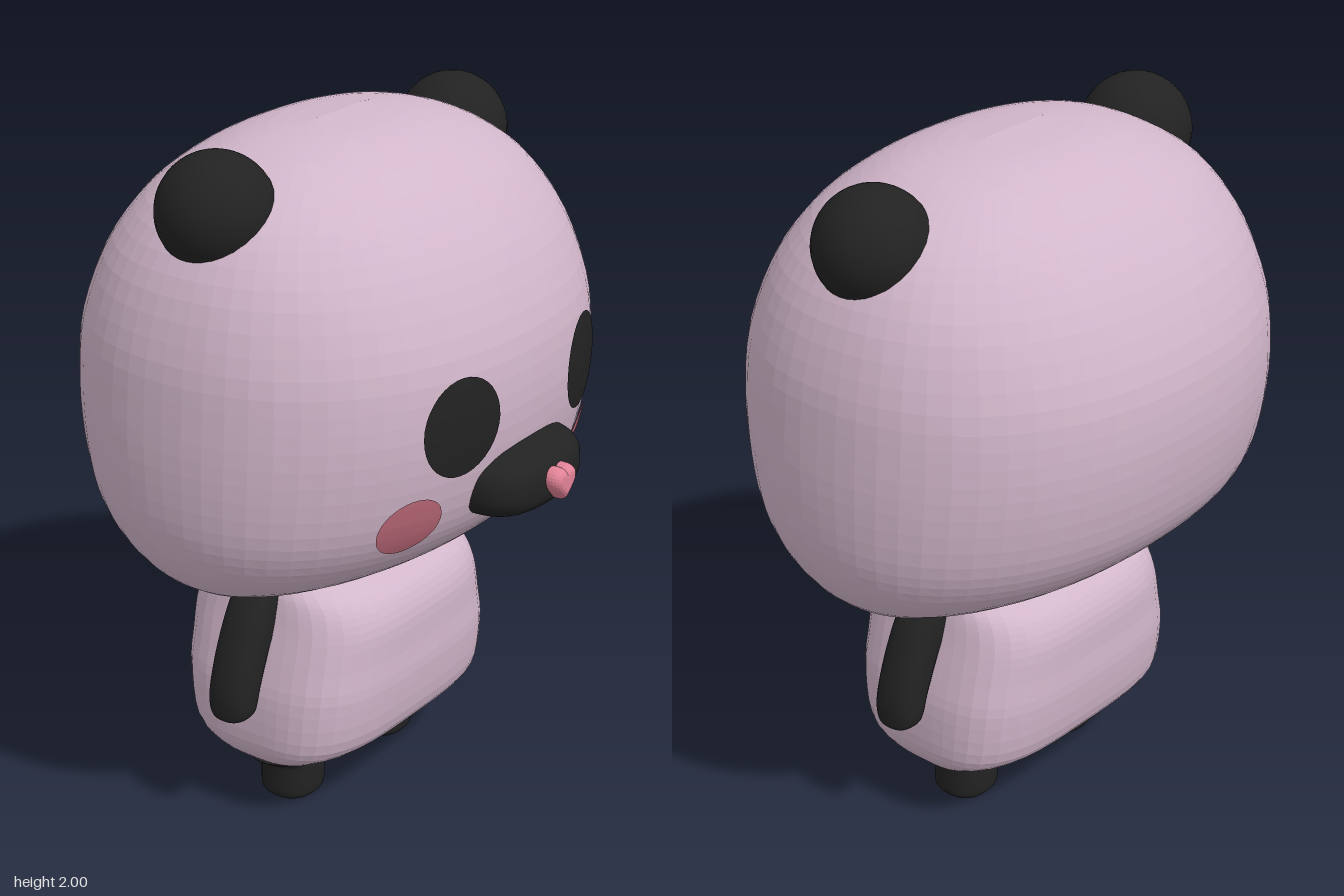
import * as THREE from 'three';

const ZC = -0.06; // shared depth centre of head, body, limbs
const mat = (name, color, extra = {}) =>
  Object.assign(new THREE.MeshStandardMaterial({ color, ...extra }), { name });

// Smoothly resample rows of [y, halfWidth, halfDepth, centreX]
function resample(rows, steps) {
  const size = new THREE.CatmullRomCurve3(rows.map(r => new THREE.Vector3(r[0], r[1], r[2])), false, 'catmullrom', 0.5);
  const shift = new THREE.CatmullRomCurve3(rows.map(r => new THREE.Vector3(r[3] || 0, 0, 0)), false, 'catmullrom', 0.5);
  return Array.from({ length: steps + 1 }, (_, i) => {
    const p = size.getPoint(i / steps);
    return { y: p.x, a: Math.max(p.y, 0), b: Math.max(p.z, 0), cx: shift.getPoint(i / steps).x };
  });
}

// Skin a stack of horizontal superellipse rings
function loft(rings, n, seg) {
  const pos = [], idx = [];
  rings.forEach(({ y, a, b, cx }, i) => {
    for (let j = 0; j < seg; j++) {
      const t = (j / seg) * Math.PI * 2, c = Math.cos(t), s = Math.sin(t);
      const r = 1 / Math.pow(Math.abs(c) ** n + Math.abs(s) ** n, 1 / n);
      pos.push(cx + a * r * c, y, ZC + b * r * s);
      if (i < rings.length - 1) {
        const p = i * seg + j, q = i * seg + ((j + 1) % seg);
        idx.push(p, p + seg, q + seg, p, q + seg, q);
      }
    }
  });
  return geometry(pos, idx);
}

function geometry(pos, idx) {
  const g = new THREE.BufferGeometry();
  g.setAttribute('position', new THREE.Float32BufferAttribute(pos, 3));
  g.setIndex(idx);
  g.computeVertexNormals();
  return g;
}

const HEAD_N = 2.25;
const headRings = resample([
  [0.74, 0.40, 0], [0.76, 0.52, 0.14], [0.81, 0.645, 0.33], [0.87, 0.705, 0.45], [0.95, 0.745, 0.535],
  [1.05, 0.768, 0.59], [1.2, 0.775, 0.625], [1.35, 0.768, 0.635], [1.5, 0.75, 0.615], [1.67, 0.695, 0.545],
  [1.8, 0.61, 0.45], [1.88, 0.51, 0.36], [1.94, 0.39, 0.26], [1.975, 0.25, 0.15], [1.99, 0.1, 0],
], 44);

// Depth of the face surface at a given point
function faceZ(x, y) {
  const i = Math.max(1, headRings.findIndex(r => r.y >= y));
  const p = headRings[i - 1], q = headRings[i], t = (y - p.y) / (q.y - p.y);
  const a = THREE.MathUtils.lerp(p.a, q.a, t), b = THREE.MathUtils.lerp(p.b, q.b, t);
  return ZC + b * Math.pow(Math.max(0, 1 - Math.abs(x / a) ** HEAD_N), 1 / HEAD_N);
}

// Thin oval that follows the face
function facePatch(cx, cy, rx, ry) {
  const seg = 36, rows = 6, pos = [], idx = [];
  for (let i = 0; i <= rows; i++) {
    for (let j = 0; j < seg; j++) {
      const t = (j / seg) * Math.PI * 2, k = i / rows;
      const x = cx + rx * k * Math.cos(t), y = cy + ry * k * Math.sin(t);
      pos.push(x, y, faceZ(x, y) + 0.009);
      if (i < rows) {
        const p = i * seg + j, q = i * seg + ((j + 1) % seg);
        idx.push(p, p + seg, q + seg, p, q + seg, q);
      }
    }
  }
  return geometry(pos, idx);
}

// Sphere squared off by a power: wide, soft muzzle
function softBox(rx, ry, rz, power) {
  const g = new THREE.SphereGeometry(1, 40, 28), p = g.attributes.position, v = new THREE.Vector3();
  for (let i = 0; i < p.count; i++) {
    v.fromBufferAttribute(p, i);
    const s = Math.pow(Math.abs(v.x) ** power + Math.abs(v.y) ** power + Math.abs(v.z) ** power, -1 / power);
    p.setXYZ(i, v.x * s * rx, v.y * s * ry, v.z * s * rz);
  }
  g.computeVertexNormals();
  return g;
}

export function createModel() {
  const model = new THREE.Group();
  model.name = 'bear';
  const fur = mat('pale mauve fur', 0xd2b7cb, { flatShading: true });
  const dark = mat('charcoal', 0x222222);
  const blush = mat('blush', 0xbf6b7b, { side: THREE.DoubleSide });
  const pink = mat('nose pink', 0xe08296);
  const add = (name, geo, material, x = 0, y = 0, z = 0) => {
    const m = new THREE.Mesh(geo, material);
    m.name = name;
    m.position.set(x, y, z);
    model.add(m);
    return m;
  };

  // Head and body
  add('head', loft(headRings, HEAD_N, 64), fur);
  const bodyRows = [
    [0.15, 0.33, 0], [0.165, 0.38, 0.13], [0.2, 0.42, 0.23], [0.26, 0.442, 0.295], [0.4, 0.44, 0.32],
    [0.5, 0.42, 0.32], [0.6, 0.395, 0.318], [0.67, 0.38, 0.29], [0.71, 0.368, 0.24], [0.74, 0.345, 0.17], [0.765, 0.28, 0],
  ].map(r => [...r, -0.015]);
  add('body', loft(resample(bodyRows, 34), 3.5, 56), fur);

  // Ears
  add('rightEar', new THREE.SphereGeometry(0.16, 32, 24), dark, -0.53, 1.842, ZC);
  add('leftEar', new THREE.SphereGeometry(0.16, 32, 24), dark, 0.543, 1.82, ZC);

  // Face
  add('rightEye', facePatch(-0.285, 1.31, 0.127, 0.138), dark);
  add('leftEye', facePatch(0.308, 1.31, 0.124, 0.138), dark);
  add('rightCheek', facePatch(-0.41, 1.052, 0.09, 0.083), blush);
  add('leftCheek', facePatch(0.406, 1.052, 0.09, 0.083), blush);
  add('muzzle', softBox(0.222, 0.104, 0.17, 2.7), dark, 0.01, 1.09, 0.49);

  // Heart-shaped nose
  const heart = new THREE.Shape();
  heart.moveTo(0, -0.04);
  heart.bezierCurveTo(-0.02, -0.022, -0.044, -0.005, -0.042, 0.015);
  heart.bezierCurveTo(-0.04, 0.036, -0.012, 0.04, 0, 0.026);
  heart.bezierCurveTo(0.012, 0.04, 0.04, 0.036, 0.042, 0.015);
  heart.bezierCurveTo(0.044, -0.005, 0.02, -0.022, 0, -0.04);
  add('nose', new THREE.ExtrudeGeometry(heart, {
    depth: 0.03, bevelThickness: 0.03, bevelSize: 0.022, bevelOffset: -0.012, bevelSegments: 5, curveSegments: 8,
  }), pink, 0, 1.09, 0.637);

  // Arms and legs, mirrored with slightly different offsets
  const armRows = [
    [0.36, 0.03, 0.03, 0.485], [0.365, 0.046, 0.05, 0.486], [0.39, 0.053, 0.066, 0.483], [0.45, 0.06, 0.07, 0.472],
    [0.55, 0.068, 0.07, 0.436], [0.65, 0.075, 0.07, 0.385], [0.71, 0.075, 0.068, 0.345], [0.733, 0.06, 0.05, 0.34], [0.736, 0, 0, 0.34],
  ];
  const legRows = [
    [0, 0, 0], [0, 0.065, 0.06], [0.008, 0.082, 0.078], [0.03, 0.09, 0.085], [0.1, 0.09, 0.085],
    [0.118, 0.098, 0.085], [0.14, 0.135, 0.085], [0.155, 0.135, 0.085], [0.18, 0, 0],
  ];
  for (const [side, s, armOut, legX] of [['left', 1, 0, 0.205], ['right', -1, 0.025, 0.24]]) {
    const arm = [[0.36, 0, 0, 0.485], ...armRows].map(([y, a, b, c]) => [y, a, b, s * (c + armOut)]);
    add(side + 'Arm', loft(resample(arm, 36), 2.5, 28), dark);
    const leg = legRows.map(([y, a, b]) => [y, a, b, s * legX]);
    add(side + 'Leg', loft(resample(leg, 32), 2.4, 28), dark);
  }
  return model;
}
